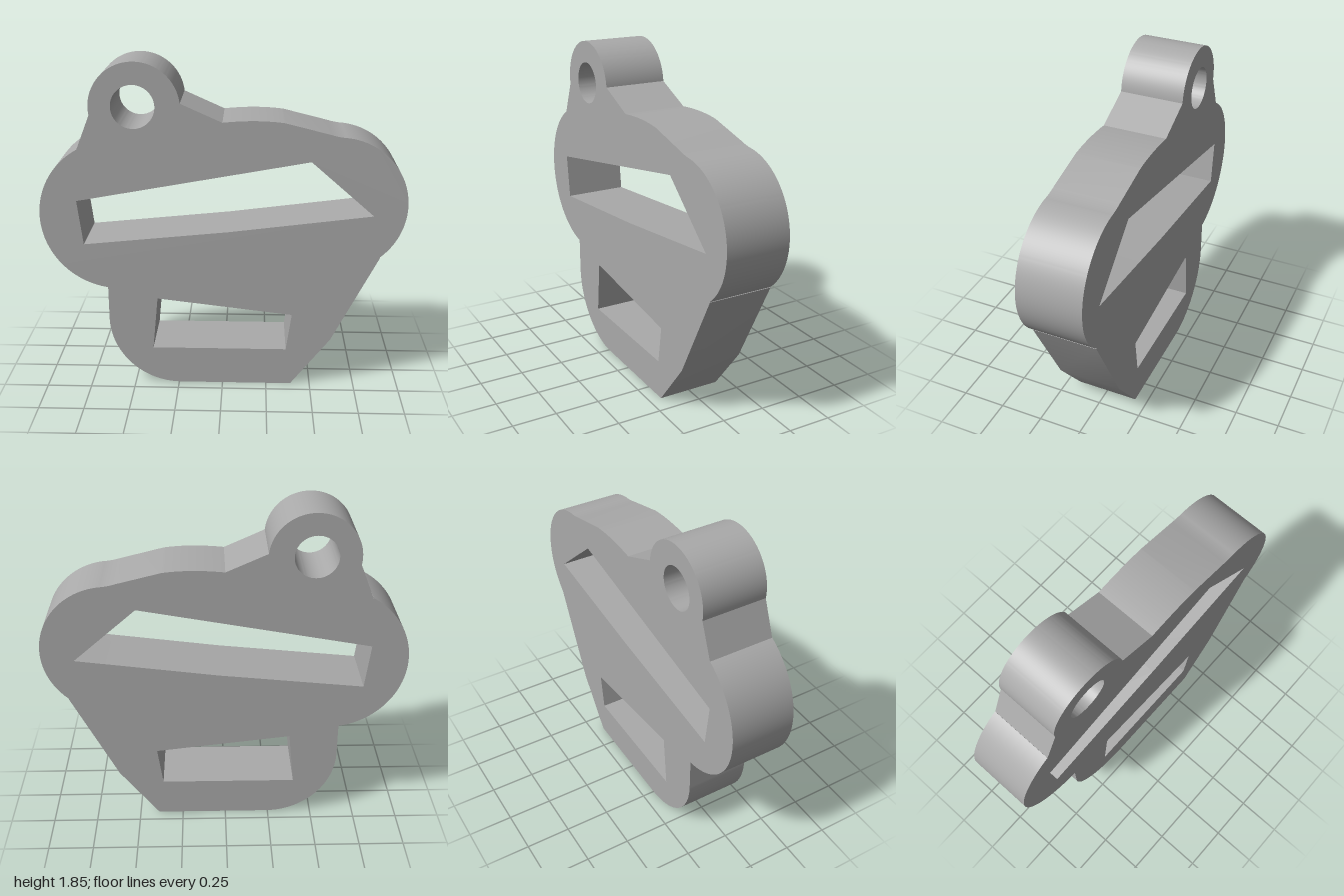
import * as THREE from 'three';
import { toCreasedNormals } from 'three/addons/utils/BufferGeometryUtils.js';

const DEPTH = 0.36;

// Closed straight-sided opening
function polygonHole(points) {
  return new THREE.Path(points.map(([x, y]) => new THREE.Vector2(x, y)));
}

// Counter-clockwise arc between two outline points, around a centre
function arcBetween(shape, [cx, cy], r, from, to) {
  const a0 = Math.atan2(from[1] - cy, from[0] - cx);
  const a1 = Math.atan2(to[1] - cy, to[0] - cx);
  shape.absarc(cx, cy, r, a0, a1, false);
}

export function createModel() {
  const grey = new THREE.MeshStandardMaterial({ color: 0xaaaaaa });
  grey.name = 'plain grey';

  // Outer outline, counter-clockwise from the bottom right corner
  const outline = new THREE.Shape();
  outline.moveTo(0.39, 0.003);
  outline.lineTo(0.61, 0.285);
  outline.lineTo(0.865, 0.785);
  arcBetween(outline, [0.62, 1.08], 0.38, [0.865, 0.785], [0.66, 1.455]); // right lobe
  outline.quadraticCurveTo(0.62, 1.46, 0.57, 1.475);
  outline.lineTo(0.33, 1.535);
  outline.quadraticCurveTo(0.18, 1.555, 0, 1.535); // shallow crown
  outline.lineTo(-0.223, 1.635);
  arcBetween(outline, [-0.465, 1.61], 0.243, [-0.223, 1.635], [-0.705, 1.57]); // hanging eye
  outline.lineTo(-0.78, 1.38);
  arcBetween(outline, [-0.575, 1.01], 0.425, [-0.78, 1.38], [-0.64, 0.595]); // left lobe
  outline.lineTo(-0.64, 0.4);
  outline.absarc(-0.24, 0.403, 0.4, Math.PI, Math.PI * 1.5, false); // rounded corner
  outline.closePath();

  // Through openings: eye, long slot, short slot
  const eye = new THREE.Path();
  eye.absarc(-0.473, 1.615, 0.117, 0, Math.PI * 2, true);
  outline.holes.push(
    eye,
    polygonHole([[-0.795, 1.095], [0.475, 1.325], [0.82, 1.025], [0.03, 0.925], [-0.765, 0.845]]),
    polygonHole([[-0.365, 0.525], [0.39, 0.435], [0.36, 0.22], [-0.395, 0.22]])
  );

  const geometry = new THREE.ExtrudeGeometry(outline, {
    depth: DEPTH, bevelEnabled: false, curveSegments: 40,
  });
  geometry.translate(0, 0, -DEPTH / 2);

  const plate = new THREE.Mesh(toCreasedNormals(geometry, 0.2), grey);
  plate.name = 'slottedPlate';

  const model = new THREE.Group();
  model.name = 'strapBuckle';
  model.add(plate);
  return model;
}
